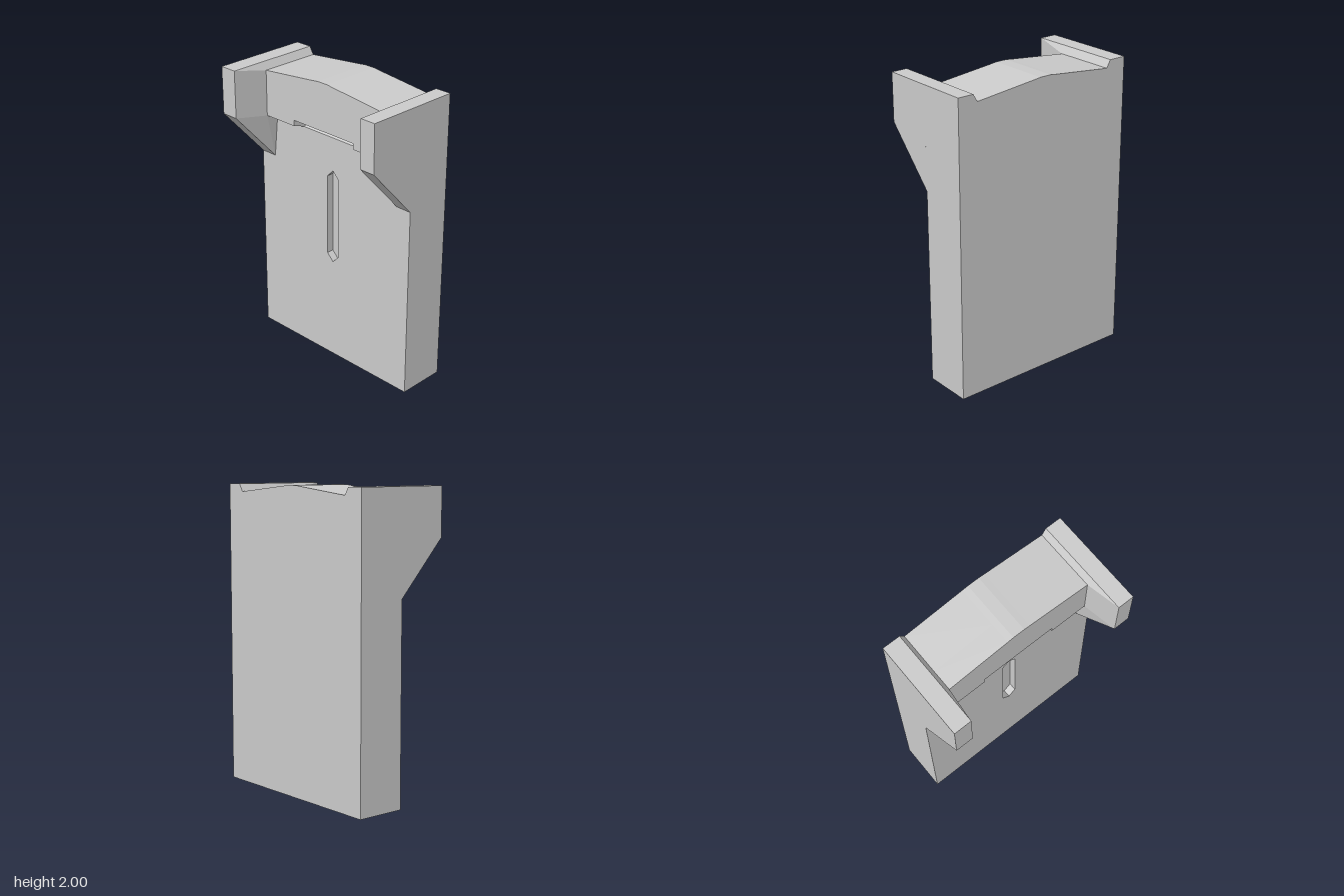
import * as THREE from 'three';
import { ConvexGeometry } from 'three/addons/geometries/ConvexGeometry.js';

const BACK = -0.33, FLOOR = -0.05, LIP = 0.09;
const material = new THREE.MeshStandardMaterial({ color: 0xcccccc, flatShading: true });

// crowned top edge with a small step up to each cheek, running left to right
const topEdge = [
  [0.66, 2], [0.55, 2], [0.52, 1.95], [0.08, 1.995], [0.04, 2],
  [-0.04, 2], [-0.08, 1.995], [-0.51, 1.95], [-0.54, 2], [-0.66, 2],
];
const outline = (points) => new THREE.Shape(points.map(([x, y]) => new THREE.Vector2(x, y)));

// extrude between two depths, optionally changing heights by a rule
function slab(shape, z0, z1, heightRule) {
  const geometry = new THREE.ExtrudeGeometry(shape, { depth: z1 - z0, bevelEnabled: false });
  geometry.translate(0, 0, z0);
  if (heightRule) {
    const p = geometry.attributes.position;
    const middle = (z0 + z1) / 2;
    for (let i = 0; i < p.count; i++) p.setY(i, heightRule(p.getY(i), p.getZ(i) < middle));
    geometry.computeVertexNormals();
  }
  return geometry;
}

export function createModel() {
  const group = new THREE.Group();
  const add = (name, geometry) => {
    const mesh = new THREE.Mesh(geometry, material);
    mesh.name = name;
    group.add(mesh);
  };

  // full-height rear body, also the floor of the groove
  add('rearBody', slab(outline([[-0.66, 0], [0.66, 0], ...topEdge]), BACK, FLOOR));

  // front panel with pointed groove; its top edge slopes up into the slot
  const panel = outline([[-0.66, 0], [0.66, 0], [0.66, 1.61], [-0.66, 1.61]]);
  panel.holes.push(outline([
    [0, 0.72], [-0.05, 0.77], [-0.05, 1.33], [0, 1.38], [0.05, 1.33], [0.05, 0.77],
  ]));
  add('frontPanel', slab(panel, FLOOR, 0, (y, rear) => (rear && y > 1.5 ? 1.635 : y)));

  // raised header with a wide slot cut in its sloping underside
  const header = outline([
    [-0.66, 1.64], [-0.26, 1.64], [-0.26, 1.68], [0.26, 1.68], [0.26, 1.64], [0.66, 1.64],
    ...topEdge,
  ]);
  add('header', slab(header, FLOOR, LIP, (y, rear) => {
    if (!rear || y > 1.7) return y;
    return y > 1.66 ? 1.635 : 1.595;
  }));

  // overhanging side cheeks, flaring inwards towards the header
  for (const [name, side, edge] of [['leftCheek', 1, 0.55], ['rightCheek', -1, 0.54]]) {
    const root = edge - 0.03;
    const points = [];
    for (const x of [0.66, edge]) {
      points.push([x, 1.32, 0], [x, 1.68, 0.33], [x, 2, 0.33], [x, 2, 0]);
    }
    points.push([root, 1.95, LIP], [root, 1.64, LIP], [root, 1.61, 0], [root, 1.95, 0]);
    add(name, new ConvexGeometry(points.map(([x, y, z]) => new THREE.Vector3(side * x, y, z))));
  }
  return group;
}
